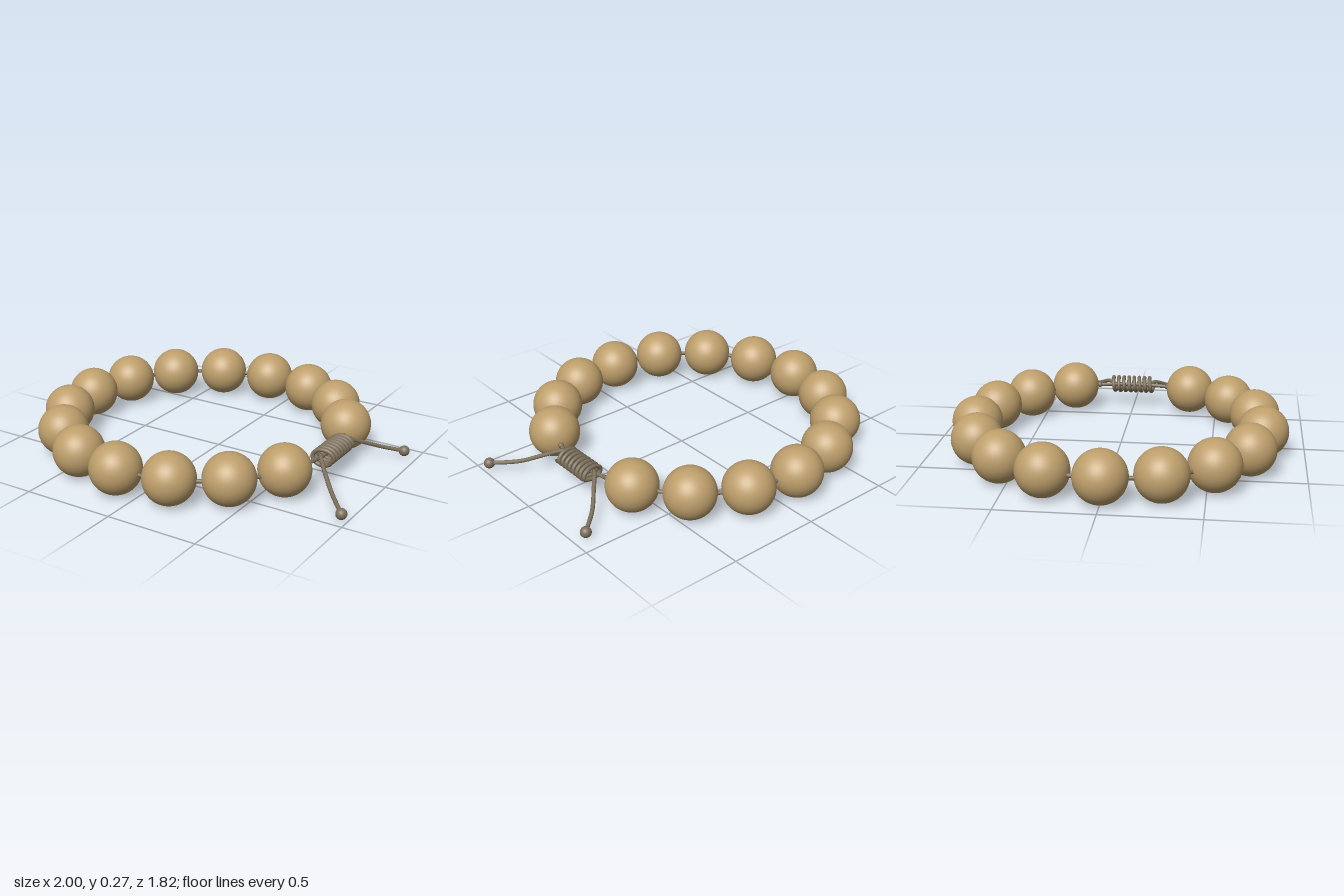
import * as THREE from 'three';

export function createModel() {
  const model = new THREE.Group();
  model.name = 'beadBracelet';
  const wood = new THREE.MeshStandardMaterial({ color: 0xbe9f6c });
  wood.name = 'tan bead';
  const string = new THREE.MeshStandardMaterial({ color: 0x7d705b });
  string.name = 'grey brown cord';

  const cx = -0.09, ringR = 0.774, cordY = 0.132, cordR = 0.011;
  const beadR = 0.137, beadCount = 15, step = THREE.MathUtils.degToRad(21.95);

  const add = (name, geometry, material, x = 0, y = 0, z = 0) => {
    const mesh = new THREE.Mesh(geometry, material);
    mesh.name = name;
    mesh.position.set(x, y, z);
    model.add(mesh);
    return mesh;
  };
  const tube = (name, points, segments, radius) =>
    add(name, new THREE.TubeGeometry(new THREE.CatmullRomCurve3(points), segments, radius, 10), string);

  // Beads spread around the ring, leaving a gap at +x for the knot
  const beadGeometry = new THREE.SphereGeometry(beadR, 40, 28);
  for (let i = 0; i < beadCount; i++) {
    const a = Math.PI + (i - (beadCount - 1) / 2) * step;
    add('bead', beadGeometry, wood, cx + ringR * Math.cos(a), 0.139, ringR * Math.sin(a));
  }

  // Cord running through every bead
  const cord = add('cord', new THREE.TorusGeometry(ringR, cordR, 10, 160), string, cx, cordY, 0);
  cord.rotation.x = Math.PI / 2;

  // Coiled sliding knot, flattened in height
  const turns = 8, perTurn = 14, coil = [];
  for (let i = 0; i <= turns * perTurn; i++) {
    const t = i / (turns * perTurn), a = t * turns * Math.PI * 2;
    coil.push(new THREE.Vector3(0.69 + 0.057 * Math.cos(a), cordY + 0.039 * Math.sin(a), -0.132 + 0.25 * t));
  }
  tube('knotCoil', coil, 320, cordR);

  // Loose tails drooping outwards, each with a round end
  const tails = [
    [[0.67, 0.14, -0.11], [0.69, 0.15, -0.145], [0.75, 0.117, -0.22], [0.83, 0.07, -0.315], [0.93, 0.035, -0.4]],
    [[0.67, 0.14, 0.09], [0.69, 0.15, 0.125], [0.75, 0.117, 0.2], [0.85, 0.062, 0.31], [0.965, 0.035, 0.435]],
  ];
  for (const tail of tails) {
    const points = tail.map((p) => new THREE.Vector3(...p));
    tube('cordTail', points, 40, cordR);
    const end = points[points.length - 1];
    add('tailEnd', new THREE.SphereGeometry(0.029, 20, 14), string, end.x, end.y, end.z);
  }

  // Small stop knots beside the last beads
  for (const z of [-0.205, 0.205]) {
    add('stopKnot', new THREE.SphereGeometry(0.016, 14, 10), string, cx + Math.sqrt(ringR ** 2 - z ** 2), cordY, z);
  }
  return model;
}
